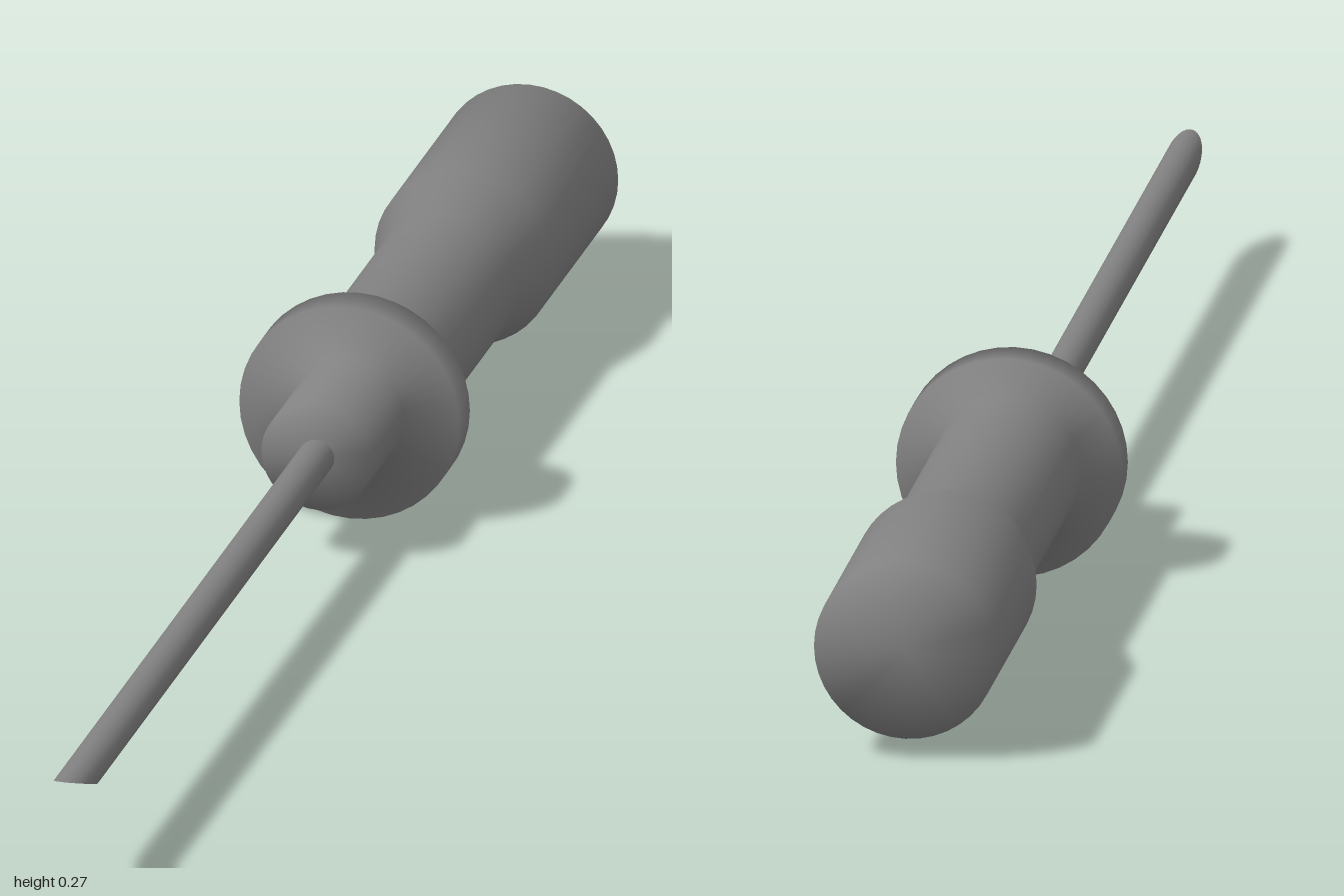
import * as THREE from 'three';
import { mergeVertices } from 'three/addons/utils/BufferGeometryUtils.js';

const AXIS_Y = 0.1355;
const material = new THREE.MeshStandardMaterial({ color: 0x808080 });

function addPart(group, name, geometry) {
  const mesh = new THREE.Mesh(geometry, material);
  mesh.name = name;
  mesh.position.y = AXIS_Y;
  group.add(mesh);
}

// Surface of revolution around the z axis from [radius, z] pairs, back to front.
function turned(profile, sides) {
  const points = profile.map(([r, z]) => new THREE.Vector2(r, z));
  return new THREE.LatheGeometry(points, sides).rotateX(Math.PI / 2);
}

// Hollow shaft whose front end is cut at a slant, with the point at the top.
function beveledTube(radius, bore, back, heel, tip) {
  const tube = turned([
    [radius, back], [radius, heel - 0.02], [radius, tip],
    [bore, tip], [bore, heel - 0.02], [bore, back],
  ], 32);
  const pos = tube.attributes.position;
  const slope = (tip - heel) / (2 * radius);
  for (let i = 0; i < pos.count; i++) {
    if (pos.getZ(i) > heel) pos.setZ(i, heel + (pos.getY(i) + radius) * slope);
  }
  // Weld the seam so the shading runs smoothly around the tip
  tube.deleteAttribute('uv');
  tube.deleteAttribute('normal');
  const welded = mergeVertices(tube);
  welded.computeVertexNormals();
  return welded;
}

export function createModel() {
  const group = new THREE.Group();
  group.name = 'pointedHandTool';

  // One turned piece with soft shading across its steps
  addPart(group, 'handleWithGuardAndCollar', turned([
    // flat butt and flared grip
    [0, -1], [0.11, -1], [0.11, -0.72], [0.088, -0.64], [0.088, -0.275],
    // guard disc
    [0.1355, -0.275], [0.1355, -0.228],
    // collar holding the shaft
    [0.068, -0.228], [0.068, -0.088], [0, -0.088],
  ], 40));

  // Needle-like hollow shaft
  addPart(group, 'shaft', beveledTube(0.022, 0.019, -0.1, 0.89, 1));

  return group;
}
